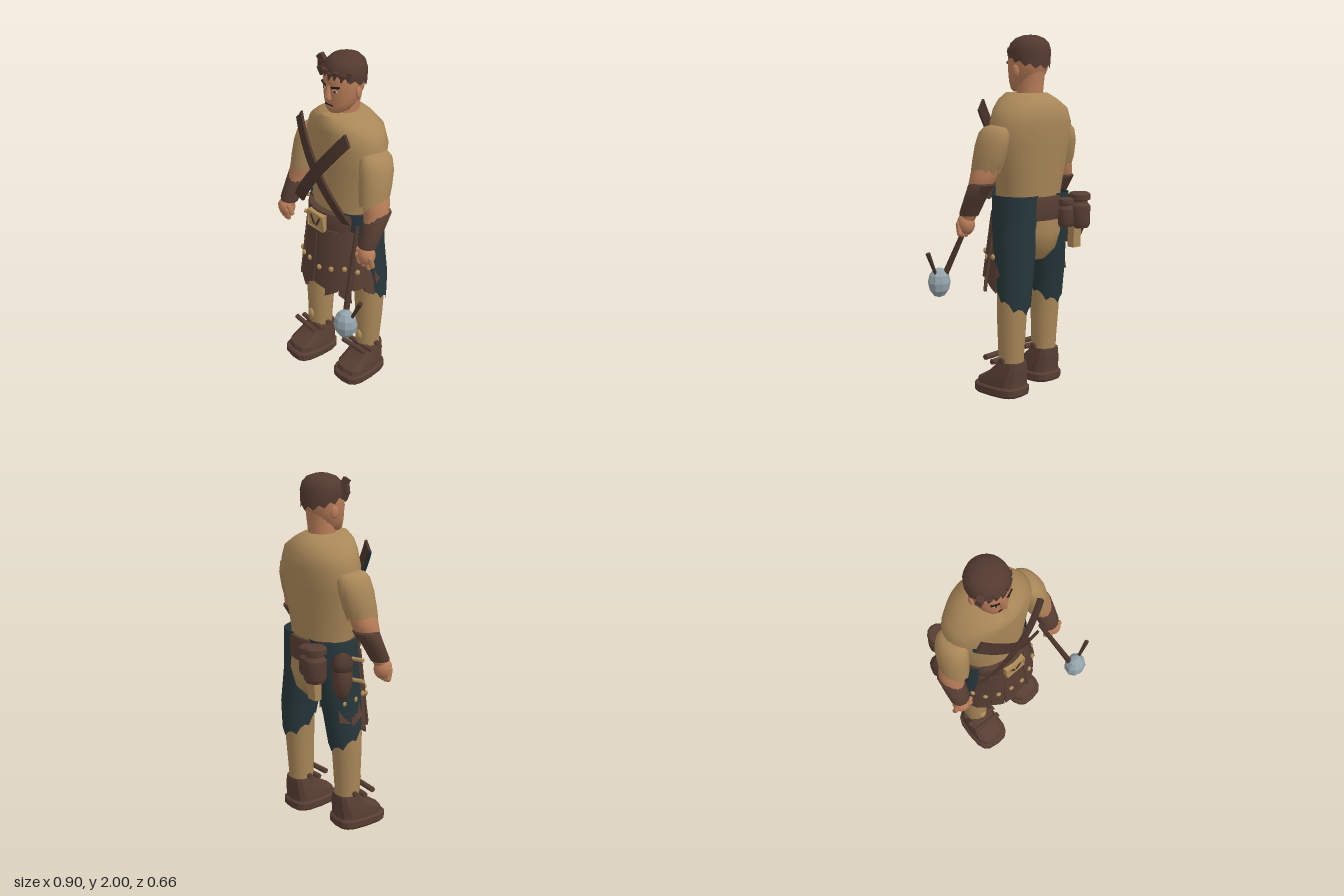
import * as THREE from 'three';
import { toCreasedNormals } from 'three/addons/utils/BufferGeometryUtils.js';

const mat = (name, color, flat = false) => {
  const m = new THREE.MeshStandardMaterial({ color, flatShading: flat });
  m.name = name;
  return m;
};

export function createModel() {
  const M = {
    skin: mat('skin', 0xb87c58),
    cloth: mat('tan cloth', 0xa98758),
    leather: mat('brown leather', 0x573e33),
    strap: mat('dark leather', 0x4b352c),
    hair: mat('hair brown', 0x533a30),
    teal: mat('dark teal cloth', 0x27373b),
    steel: mat('grey steel', 0x93a4ab, true),
    brass: mat('pale brass', 0xb08d58),
    dark: mat('near black', 0x2a1d18),
    eye: mat('eye white', 0xb9a893),
  };
  for (const k of ['teal', 'cloth', 'leather', 'hair']) M[k].side = THREE.DoubleSide;

  const root = new THREE.Group();
  root.name = 'warrior';
  const body = new THREE.Group(); // symmetric figure, set slightly off centre
  body.name = 'figure';
  body.position.x = -0.043;
  root.add(body);

  const add = (name, geo, material, pos = [0, 0, 0], rot = [0, 0, 0], scale = [1, 1, 1], parent = body) => {
    const m = new THREE.Mesh(geo, material);
    m.name = name;
    m.position.set(...pos);
    m.rotation.set(...rot);
    m.scale.set(...scale);
    parent.add(m);
    return m;
  };

  // Loft through horizontal rings [y, cx, cz, rx, rz], bottom to top;
  // hem(a) shifts the lowest ring, power > 2 squares the section
  const loft = (rings, { n = 20, power = 2, hem = null, caps = true, crease = 0.9 } = {}) => {
    const pos = [], idx = [];
    const bend = v => Math.sign(v) * Math.abs(v) ** (2 / power);
    rings.forEach(([y, cx, cz, rx, rz], k) => {
      for (let i = 0; i < n; i++) {
        const a = (i / n) * Math.PI * 2;
        pos.push(cx + rx * bend(Math.sin(a)), y + (k === 0 && hem ? hem(a, i) : 0), cz + rz * bend(Math.cos(a)));
      }
    });
    for (let k = 0; k < rings.length - 1; k++)
      for (let i = 0; i < n; i++) {
        const j = (i + 1) % n, a = k * n + i, b = k * n + j;
        idx.push(a, b, b + n, a, b + n, a + n);
      }
    if (caps) [0, rings.length - 1].forEach(k => {
      if (k === 0 && hem) return;
      const c = pos.length / 3, [y, cx, cz] = rings[k];
      pos.push(cx, y, cz);
      for (let i = 0; i < n; i++) {
        const a = k * n + i, b = k * n + (i + 1) % n;
        k ? idx.push(c, a, b) : idx.push(c, b, a);
      }
    });
    const g = new THREE.BufferGeometry();
    g.setAttribute('position', new THREE.Float32BufferAttribute(pos, 3));
    g.setIndex(idx);
    return toCreasedNormals(g, crease);
  };
  const ball = new THREE.SphereGeometry(1, 14, 10);
  const box = (x, y, z) => new THREE.BoxGeometry(x, y, z);
  const rod = (name, a, b, r0, r1, material, parent = root) => {
    const p = new THREE.Vector3(...a), q = new THREE.Vector3(...b), d = q.clone().sub(p);
    const m = add(name, new THREE.CylinderGeometry(r1, r0, d.length(), 8), material, p.clone().add(q).multiplyScalar(0.5).toArray(), [0, 0, 0], [1, 1, 1], parent);
    m.quaternion.setFromUnitVectors(new THREE.Vector3(0, 1, 0), d.normalize());
  };

  // Torso and seat
  add('tunic', loft([[1.1, 0, -0.06, 0.2, 0.155], [1.2, 0, -0.065, 0.215, 0.16], [1.4, 0, -0.075, 0.26, 0.17],
    [1.52, 0, -0.077, 0.272, 0.178], [1.6, 0, -0.075, 0.235, 0.177], [1.65, 0, -0.055, 0.17, 0.16],
    [1.685, 0, -0.045, 0.1, 0.13]], { n: 28 }), M.cloth);
  add('seat', loft([[0.76, 0, -0.09, 0.07, 0.07], [0.82, 0, -0.09, 0.13, 0.13], [0.92, 0, -0.09, 0.165, 0.155],
    [1.1, 0, -0.07, 0.19, 0.15]]), M.cloth);
  add('belt', loft([[0.99, 0, -0.05, 0.2, 0.185], [1.01, 0, -0.05, 0.205, 0.19], [1.1, 0, -0.05, 0.205, 0.19],
    [1.12, 0, -0.05, 0.2, 0.185]], { n: 28, crease: 0.5 }), M.leather);

  // Buckle with a plain V ornament
  add('buckle', box(0.13, 0.1, 0.03), M.brass, [0, 1.06, 0.14]);
  add('buckleRim', new THREE.TorusGeometry(0.072, 0.007, 4, 4).rotateZ(Math.PI / 4), M.brass, [0, 1.06, 0.156], [0, 0, 0], [1.2, 0.92, 1]);
  for (const s of [-1, 1]) add('buckleInlay', box(0.012, 0.06, 0.006), M.strap, [s * 0.022, 1.062, 0.157], [0, 0, -s * 0.5]);

  // Skirt of ragged leather strips over the front and sides
  const drops = [0.67, 0.64, 0.61, 0.6, 0.63, 0.61, 0.66, 0.6, 0.62, 0.66, 0.64, 0.67];
  const skirtPoint = (a, t, out = 0) => [Math.sin(a) * (0.195 + 0.06 * t + out), Math.cos(a) * (0.178 + 0.033 * t + out) - 0.045];
  drops.forEach((low, i) => {
    const step = 0.33, a0 = (i - 5.5) * step;
    const g = new THREE.BoxGeometry(1, 1, 1, 3, 5, 1), p = g.attributes.position;
    for (let v = 0; v < p.count; v++) {
      const u = p.getX(v), t = 0.5 - p.getY(v), a = a0 + u * step * (1.06 - 0.1 * t);
      const bottom = low + (t === 1 ? 0.05 * (u + 0.5) * (i % 2 ? 1 : -1) * (i % 3 ? 1 : 0.3) : 0);
      const [x, z] = skirtPoint(a, t, p.getZ(v) * 0.018 + (i % 2) * 0.007);
      p.setXYZ(v, x, 1.02 + (bottom - 1.02) * t, z);
    }
    add('skirtStrip', toCreasedNormals(g, 0.6), M.leather);
    const [x, z] = skirtPoint(a0, 0.6, 0.018);
    add('skirtStud', ball, M.brass, [x, 0.775 + (i % 3) * 0.012, z], [0, a0, 0], [0.015, 0.017, 0.011]);
  });

  // Crossed chest straps, bowed forward
  const chestStrap = (name, a, b, w, z0, material, shift = 0) => {
    const dx = b[0] - a[0], dy = b[1] - a[1], len = Math.hypot(dx, dy);
    const g = new THREE.BoxGeometry(len, w, 0.016, 14, 1, 1), p = g.attributes.position;
    for (let v = 0; v < p.count; v++) {
      const t = p.getX(v) / len;
      p.setX(v, p.getX(v) + p.getY(v) * (t > 0 ? 0.4 : -0.4));
      p.setY(v, p.getY(v) + shift);
      p.setZ(v, p.getZ(v) + z0 - 0.2 * t * t);
    }
    add(name, toCreasedNormals(g, 0.6), material, [(a[0] + b[0]) / 2, (a[1] + b[1]) / 2, 0], [0, 0, Math.atan2(dy, dx)], [1, 1, 1], root);
  };
  chestStrap('chestStrapRight', [-0.24, 1.62], [0.15, 1.1], 0.066, 0.142, M.strap);
  chestStrap('strapLining', [-0.24, 1.62], [0.13, 1.12], 0.014, 0.132, M.teal, -0.036);
  chestStrap('chestStrapLeft', [-0.24, 1.11], [0.165, 1.62], 0.066, 0.156, M.strap);

  // Arms
  for (const s of [-1, 1]) {
    add('sleeve', loft([[1.255, s * 0.29, -0.015, 0.074, 0.088], [1.32, s * 0.282, -0.03, 0.08, 0.098], [1.41, s * 0.272, -0.047, 0.08, 0.104],
      [1.475, s * 0.258, -0.055, 0.072, 0.1], [1.505, s * 0.248, -0.057, 0.055, 0.08], [1.518, s * 0.242, -0.057, 0.025, 0.04]],
      { hem: (a, i) => (i % 2 ? -0.018 : 0.012) - 0.015 * Math.cos(a) }), M.cloth);
    add('forearm', loft([[0.99, s * 0.338, 0.08, 0.04, 0.038], [1.1, s * 0.33, 0.03, 0.05, 0.05], [1.2, s * 0.317, -0.01, 0.07, 0.07],
      [1.25, s * 0.305, -0.018, 0.072, 0.077], [1.32, s * 0.285, -0.03, 0.06, 0.07]]), M.skin);
    add('bracer', loft([[1.02, s * 0.335, 0.07, 0.054, 0.05], [1.035, s * 0.335, 0.066, 0.058, 0.054], [1.12, s * 0.332, 0.022, 0.064, 0.06],
      [1.195, s * 0.322, -0.018, 0.074, 0.072], [1.205, s * 0.32, -0.02, 0.068, 0.066]], { n: 16 }), M.leather);
    add('palm', ball, M.skin, [s * 0.345, 0.972, 0.085], [0.2, 0, 0], [0.05, 0.06, 0.05]);
    for (let f = 0; f < 4; f++)
      add('finger', new THREE.CapsuleGeometry(0.015, 0.055, 3, 8), M.skin, [s * (0.306 + f * 0.028), 0.935 + Math.abs(f - 1.4) * 0.008, 0.11 - f * 0.006], [0.25, 0, s * 0.06]);
    add('thumb', new THREE.CapsuleGeometry(0.016, 0.045, 3, 8), M.skin, [s * 0.293, 0.975, 0.1], [0.2, 0, -s * 0.25]);
  }

  // Legs: the right one stands a little forward
  for (const s of [-1, 1]) {
    const z = s > 0 ? -0.095 : -0.02, side = s > 0 ? 'left' : 'right';
    add(side + 'Leg', loft([[0.15, s * 0.172, z, 0.068, 0.07], [0.25, s * 0.173, z, 0.072, 0.075], [0.42, s * 0.174, z - 0.005, 0.082, 0.082],
      [0.6, s * 0.172, z - 0.01, 0.088, 0.09], [0.8, s * 0.15, z * 0.6 - 0.035, 0.1, 0.105], [1, s * 0.12, -0.07, 0.1, 0.12]]), M.cloth);
    add(side + 'Trouser', loft([[0.56, s * 0.17, z - 0.012, 0.095, 0.1], [0.68, s * 0.162, z * 0.8 - 0.03, 0.102, 0.113],
      [0.88, s * 0.135, z * 0.3 - 0.055, 0.115, 0.13], [1.02, s * 0.122, -0.078, 0.125, 0.14], [1.13, s * 0.12, -0.08, 0.118, 0.14]],
      { n: 24, caps: false, hem: (a, i) => 0.07 * Math.cos(a) + (i % 3 ? 0.012 : -0.015) }), M.teal);
    add(side + 'ShinButton', ball, M.brass, [s * 0.175, 0.27, z + 0.074], [0, 0, 0], [0.024, 0.036, 0.016]);

    // Shoe
    const shoe = new THREE.Group();
    shoe.name = side + 'Shoe';
    shoe.position.set(s * 0.177, 0, z + 0.072);
    shoe.rotation.y = s * 0.06;
    body.add(shoe);
    const part = (name, rings, n = 12) => add(name, loft(rings, { n, power: 3.2, crease: 0.35 }), M.leather, [0, 0, 0], [0, 0, 0], [1, 1, 1], shoe);
    part('sole', [[0, 0, 0, 0.103, 0.15], [0.012, 0, 0, 0.11, 0.157], [0.045, 0, 0, 0.11, 0.157], [0.055, 0, 0, 0.1, 0.148]], 16);
    part('upper', [[0.05, 0, -0.003, 0.098, 0.144], [0.085, 0, -0.008, 0.096, 0.138], [0.13, 0, -0.05, 0.087, 0.1],
      [0.165, 0, -0.07, 0.08, 0.08], [0.195, 0, -0.078, 0.072, 0.07]]);
    [0.045, -0.012, -0.07].forEach((lz, i) =>
      add('lace', new THREE.CylinderGeometry(0.016, 0.016, 0.18 + (i % 2) * 0.012, 6), M.leather, [0, 0.21 - (i % 2) * 0.015, lz], [0, 0, Math.PI / 2], [1, 1, 1], shoe));
  }

  // Head
  add('neck', loft([[1.62, 0, -0.065, 0.085, 0.085], [1.68, 0, -0.068, 0.075, 0.073], [1.8, 0, -0.08, 0.08, 0.075]]), M.skin);
  add('head', loft([[1.69, 0, 0.0, 0.04, 0.04], [1.705, 0, -0.018, 0.066, 0.066], [1.75, 0, -0.037, 0.091, 0.088],
    [1.81, 0, -0.053, 0.106, 0.105], [1.86, 0, -0.058, 0.109, 0.112], [1.92, 0, -0.062, 0.105, 0.11], [1.97, 0, -0.065, 0.07, 0.08]],
    { n: 24, power: 2.2 }), M.skin);
  add('nose', loft([[1.772, 0, 0.048, 0.021, 0.024], [1.785, 0, 0.05, 0.019, 0.03], [1.85, 0, 0.046, 0.008, 0.012]], { n: 8 }), M.skin);
  add('mouth', box(0.055, 0.007, 0.008), M.dark, [0, 1.737, 0.05]);
  add('lowerLip', ball, M.skin, [0, 1.727, 0.046], [0, 0, 0], [0.026, 0.009, 0.01]);
  for (const s of [-1, 1]) {
    add('eye', ball, M.eye, [s * 0.043, 1.822, 0.043], [0, s * 0.35, 0], [0.018, 0.008, 0.006]);
    add('pupil', ball, M.dark, [s * 0.043, 1.822, 0.047], [0, s * 0.35, 0], [0.007, 0.007, 0.005]);
    add('brow', box(0.048, 0.01, 0.012), M.dark, [s * 0.046, 1.846, 0.045], [0, s * 0.35, s * 0.15]);
    add('ear', ball, M.skin, [s * 0.108, 1.805, -0.065], [0.1, s * 0.3, 0], [0.012, 0.034, 0.022]);
  }

  // Hair cap, lower at the nape, with a pointed fringe and a side tuft
  add('hair', loft([[1.86, 0, -0.066, 0.114, 0.116], [1.915, 0, -0.067, 0.119, 0.118], [1.955, 0, -0.068, 0.106, 0.107],
    [1.982, 0, -0.07, 0.078, 0.08], [1.997, 0, -0.072, 0.038, 0.04], [2, 0, -0.072, 0.008, 0.008]],
    { n: 24, hem: (a, i) => 0.035 * Math.cos(a) + (i % 2 ? 0.01 : -0.012) }), M.hair);
  for (let i = 0; i < 7; i++) {
    const a = (i - 3) * 0.33;
    add('fringeLock', new THREE.ConeGeometry(0.02, 0.07, 5), M.hair, [Math.sin(a) * 0.113, 1.895 - (i % 2) * 0.012, Math.cos(a) * 0.115 - 0.066], [Math.PI, -a, 0.2], [1, 1, 0.6]);
  }
  [[-0.105, 1.955, 0.4], [-0.11, 1.925, -0.2], [-0.105, 1.89, 0.25]].forEach(([x, y, r]) =>
    add('sideTuft', box(0.035, 0.05, 0.03), M.hair, [x, y, 0.005], [0.2, 0.4, r]));

  // Pouches and flasks on the right hip
  const hip = (name, geo, material, pos, rot, scale) => add(name, geo, material, pos, rot, scale, root);
  hip('hipBag', new THREE.SphereGeometry(1, 10, 8), M.leather, [-0.315, 0.95, -0.135], [0, -0.8, 0], [0.085, 0.135, 0.055]);
  hip('bagFlap', ball, M.strap, [-0.317, 1.02, -0.138], [0, -0.8, 0], [0.08, 0.06, 0.06]);
  const flask = [[0, 0], [0.05, 0.005], [0.062, 0.03], [0.062, 0.13], [0.045, 0.15], [0.045, 0.158], [0.062, 0.165], [0.062, 0.195], [0.05, 0.205], [0, 0.205]].map(p => new THREE.Vector2(...p));
  const flaskGeo = toCreasedNormals(new THREE.LatheGeometry(flask, 12), 0.6);
  hip('flask', flaskGeo, M.leather, [-0.245, 0.925, -0.265]);
  hip('smallFlask', flaskGeo, M.leather, [-0.15, 0.94, -0.245], [0, 0, 0], [0.75, 0.8, 0.75]);
  hip('hangingTag', box(0.06, 0.13, 0.045), M.cloth, [-0.22, 0.885, -0.25]);
  for (const y of [0.91, 1.03])
    hip('bagToggle', new THREE.CylinderGeometry(0.012, 0.012, 0.07, 8), M.brass, [-0.325, y, -0.04], [0, 0.4, Math.PI / 2]);

  // Hanging flail: handle, faceted steel head and a short spike
  rod('flailHandle', [0.215, 1.11, 0.075], [0.315, 0.67, 0.245], 0.013, 0.018, M.strap);
  hip('flailHead', new THREE.SphereGeometry(1, 9, 6), M.steel, [0.34, 0.62, 0.27], [0, 0.2, 0], [0.07, 0.086, 0.062]);
  rod('flailSpike', [0.375, 0.67, 0.258], [0.438, 0.8, 0.25], 0.009, 0.014, M.strap);

  return root;
}
